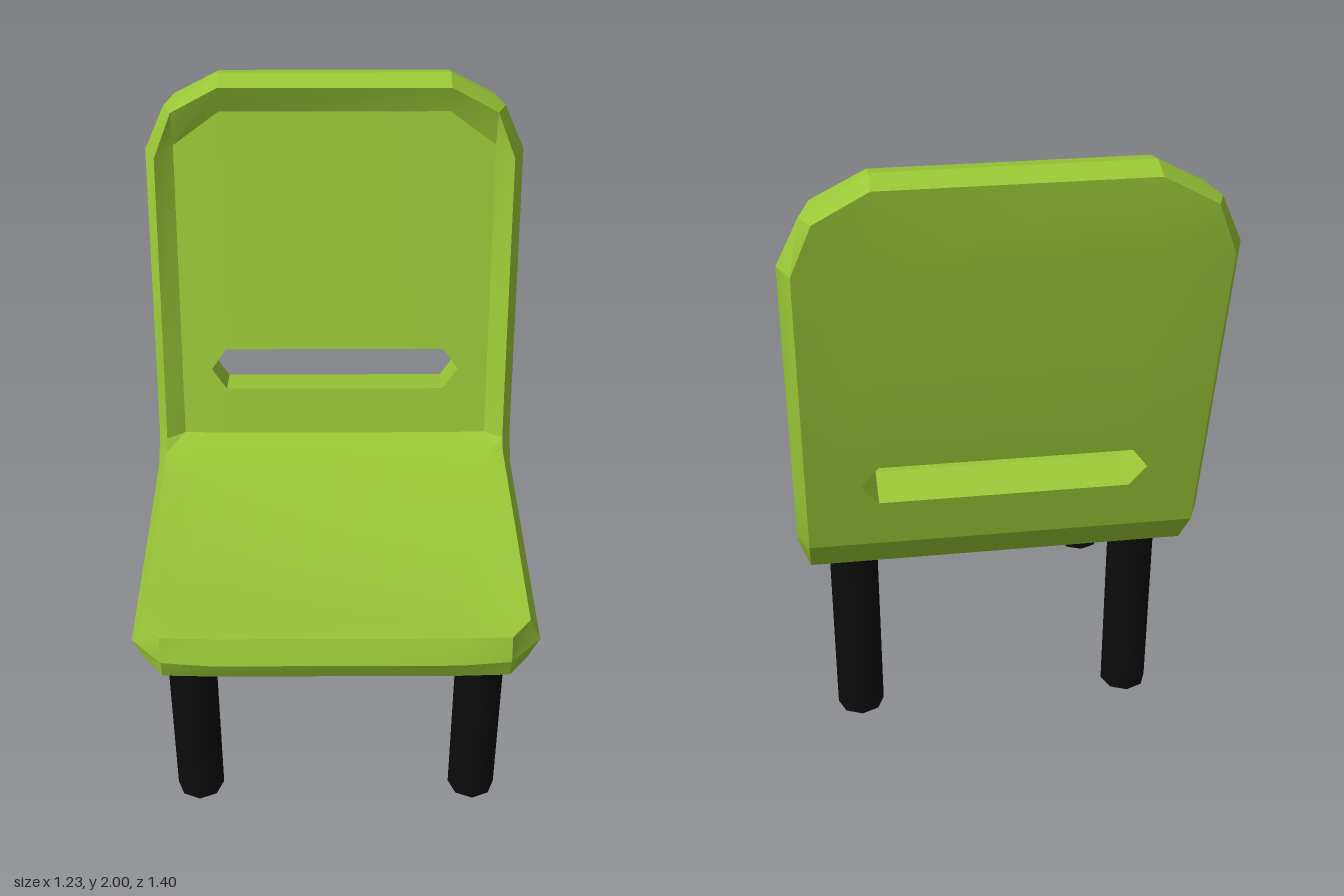
import * as THREE from 'three';
import { toCreasedNormals } from 'three/addons/utils/BufferGeometryUtils.js';

const green = new THREE.MeshStandardMaterial({ color: 0x9ac837 });
green.name = 'limePlastic';
const black = new THREE.MeshStandardMaterial({ color: 0x0c0c0c });
black.name = 'blackLegs';

const XA = 0.37, XB = 0.52, XC = 0.58, XD = 0.615; // inner, dish, rim and outermost columns
const P = (x, y, z) => [x, y, z];
const mirror = ([x, y, z]) => [-x, y, z];
const both = (half) => [...half, ...half.slice().reverse().map(mirror)];

// One half of a section: front A, B, C, outer edge, back C, B, A
const half = (fa, fb, fc, d, bc, bb = bc, ba = bb, xa = XA) => [
  P(xa, ...fa), P(XB, ...fb), P(XC, ...fc), P(XD, ...d), P(XC, ...bc), P(XB, ...bb), P(xa, ...ba),
];

// Section through the seat at depth z, dished by `dip` in the middle
const seatRow = (z, dip, zRim = z) =>
  half([0.77 - dip, z], [0.77 - dip * 0.25, z], [0.77, zRim], [0.69, zRim], [0.62, zRim]);

// Section through the leaning backrest at height y
const backRow = (y, xa) => {
  const yb = y - 0.025, recess = -0.35 - 0.215 * (y - 0.8);
  return half([y, recess], [y, recess - 0.005], [y, -0.32 - 0.211 * (y - 0.8)],
    [yb, -0.4 - 0.206 * (yb - 0.77)], [yb, -0.48 - 0.206 * (yb - 0.77)], undefined, undefined, xa);
};

function shellGeometry() {
  const rows = [
    half([0.77, 0.67], [0.77, 0.665], [0.77, 0.59], [0.69, 0.585], [0.62, 0.59], [0.62, 0.665], [0.62, 0.67]),
    seatRow(0.61, 0.004, 0.585),
    seatRow(0.54, 0.022),
    seatRow(-0.12, 0.022),
    half([0.772, -0.26], [0.772, -0.26], [0.77, -0.275], [0.69, -0.32], [0.62, -0.36]),
    half([0.8, -0.35], [0.8, -0.355], [0.8, -0.315], [0.77, -0.4], [0.77, -0.48]),
    backRow(0.96), backRow(1.03, 0.42), backRow(1.1),
    half([1.89, -0.57], [1.78, -0.56], [1.75, -0.52], [1.75, -0.6], [1.75, -0.68]),
    half([1.98, -0.54], [1.9, -0.535], [1.75, -0.52], [1.75, -0.6], [1.75, -0.68], [1.9, -0.7], [1.98, -0.695]),
  ];
  const slot = 6; // first of the three rows that bound the slot
  const positions = [];
  const v = (p) => new THREE.Vector3(...p);
  const tri = (a, b, c) => {
    if (new THREE.Triangle(v(a), v(b), v(c)).getArea() > 1e-7) positions.push(...a, ...b, ...c);
  };
  const quad = (a, b, c, d) => { tri(a, b, c); tri(a, c, d); };

  // Skin between sections, leaving the slot open
  const loops = rows.map(both);
  for (let i = 0; i < loops.length - 1; i++) {
    for (let k = 0; k < 14; k++) {
      const open = (i === slot || i === slot + 1) && (k === 6 || k === 13);
      const n = (k + 1) % 14;
      if (!open) quad(loops[i][k], loops[i][n], loops[i + 1][n], loops[i + 1][k]);
    }
  }

  // Walls through the slot
  const holeRows = rows.slice(slot, slot + 3);
  const holeFront = both(holeRows.map((r) => r[0]));
  const holeBack = both(holeRows.map((r) => r[6]));
  for (let k = 0; k < 6; k++) {
    const n = (k + 1) % 6;
    quad(holeFront[k], holeFront[n], holeBack[n], holeBack[k]);
  }

  // Bevelled rims closing the seat front and the backrest top
  const cap = (r, midB, midA, flip) => {
    const strips = [[r[2], r[1], r[0]], [r[3], midB, midA], [r[4], r[5], r[6]]].map(both);
    for (let s = 0; s < 2; s++) {
      for (let k = 0; k < 5; k++) {
        const q = [strips[s][k], strips[s][k + 1], strips[s + 1][k + 1], strips[s + 1][k]];
        quad(...(flip ? q.reverse() : q));
      }
    }
  };
  cap(rows[0], P(0.52, 0.69, 0.685), P(XA, 0.69, 0.7), false);
  cap(rows[10], P(0.55, 1.89, -0.62), P(XA, 2.0, -0.62), true);

  const g = new THREE.BufferGeometry();
  g.setAttribute('position', new THREE.Float32BufferAttribute(positions, 3));
  return toCreasedNormals(g, 0.42);
}

export function createModel() {
  const chair = new THREE.Group();
  chair.name = 'chair';

  // One-piece seat and backrest
  const shell = new THREE.Mesh(shellGeometry(), green);
  shell.name = 'seatAndBackrest';
  chair.add(shell);

  // Four legs, leaning very slightly
  const legShape = new THREE.CylinderGeometry(0.075, 0.075, 0.63, 8);
  for (const [end, z] of [['front', 0.525], ['rear', -0.283]]) {
    for (const [side, s] of [['Left', 1], ['Right', -1]]) {
      const leg = new THREE.Mesh(legShape, black);
      leg.name = `${end}${side}Leg`;
      leg.position.set(s * 0.445, 0.316, z);
      leg.rotation.x = 0.012;
      chair.add(leg);
    }
  }
  return chair;
}
